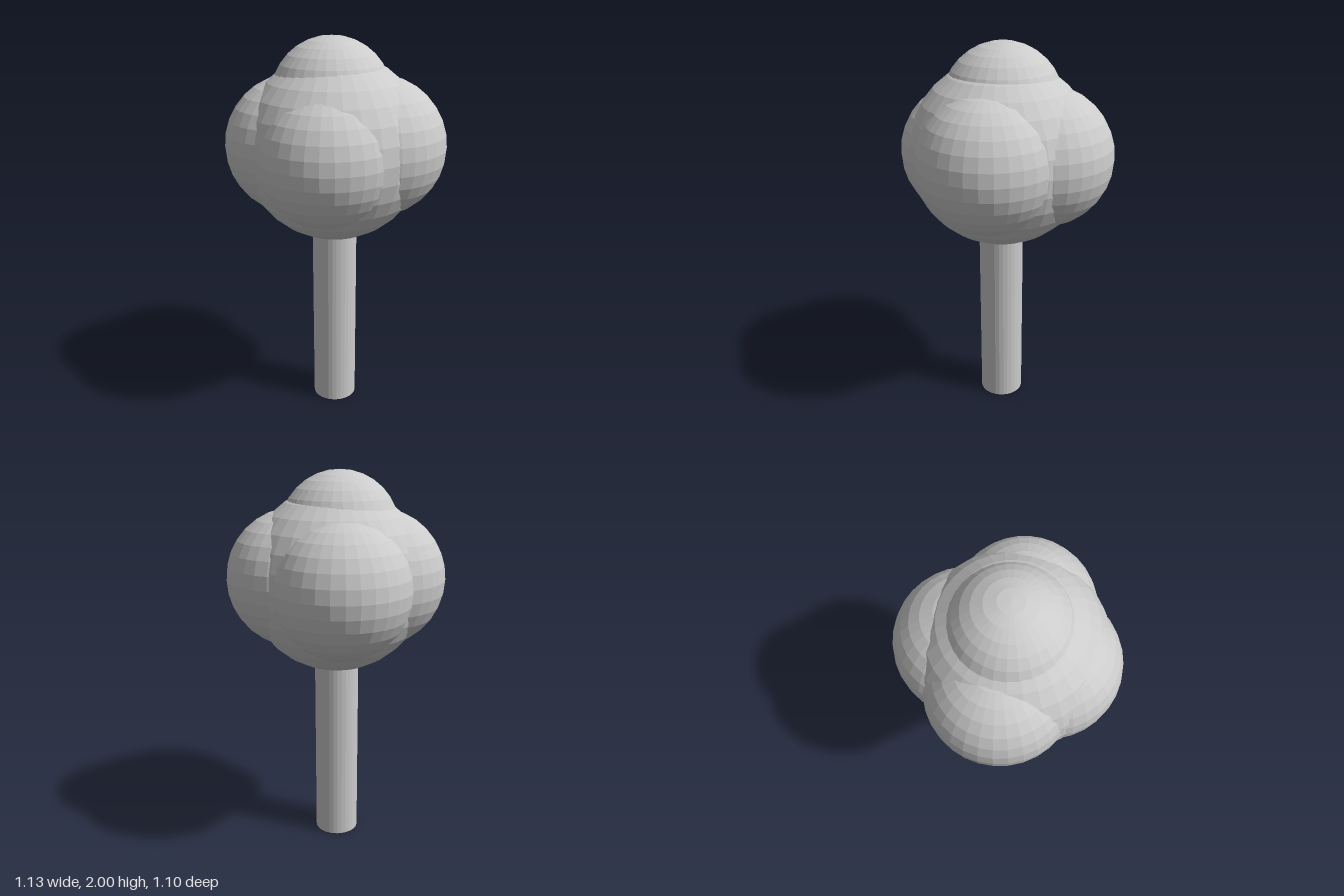
import * as THREE from 'three';

const material = new THREE.MeshStandardMaterial({ color: 0xcccccc, flatShading: true });

export function createModel() {
  const tree = new THREE.Group();
  tree.name = 'tree';

  const add = (parent, name, geometry, x, y, z) => {
    const mesh = new THREE.Mesh(geometry, material);
    mesh.name = name;
    mesh.position.set(x, y, z);
    parent.add(mesh);
  };

  // Trunk, its top sunk into the crown
  const height = 1.1;
  add(tree, 'trunk', new THREE.CylinderGeometry(0.117, 0.117, height, 32), -0.005, height / 2, 0.023);

  // Crown: a large core with overlapping foliage balls around it
  const crown = new THREE.Group();
  crown.name = 'crown';
  tree.add(crown);
  const balls = [
    ['crownCore', 0.474, -0.005, 1.447, 0.02],
    ['leftFoliage', 0.357, 0.205, 1.458, 0.02],
    ['rightFoliage', 0.357, -0.208, 1.455, 0.015],
    ['frontFoliage', 0.357, -0.02, 1.438, 0.194],
    ['backFoliage', 0.357, -0.018, 1.443, -0.196],
    ['topFoliage', 0.306, -0.02, 1.694, 0.017],
  ];
  for (const [name, radius, x, y, z] of balls) {
    add(crown, name, new THREE.SphereGeometry(radius, 32, 16), x, y, z);
  }
  return tree;
}
